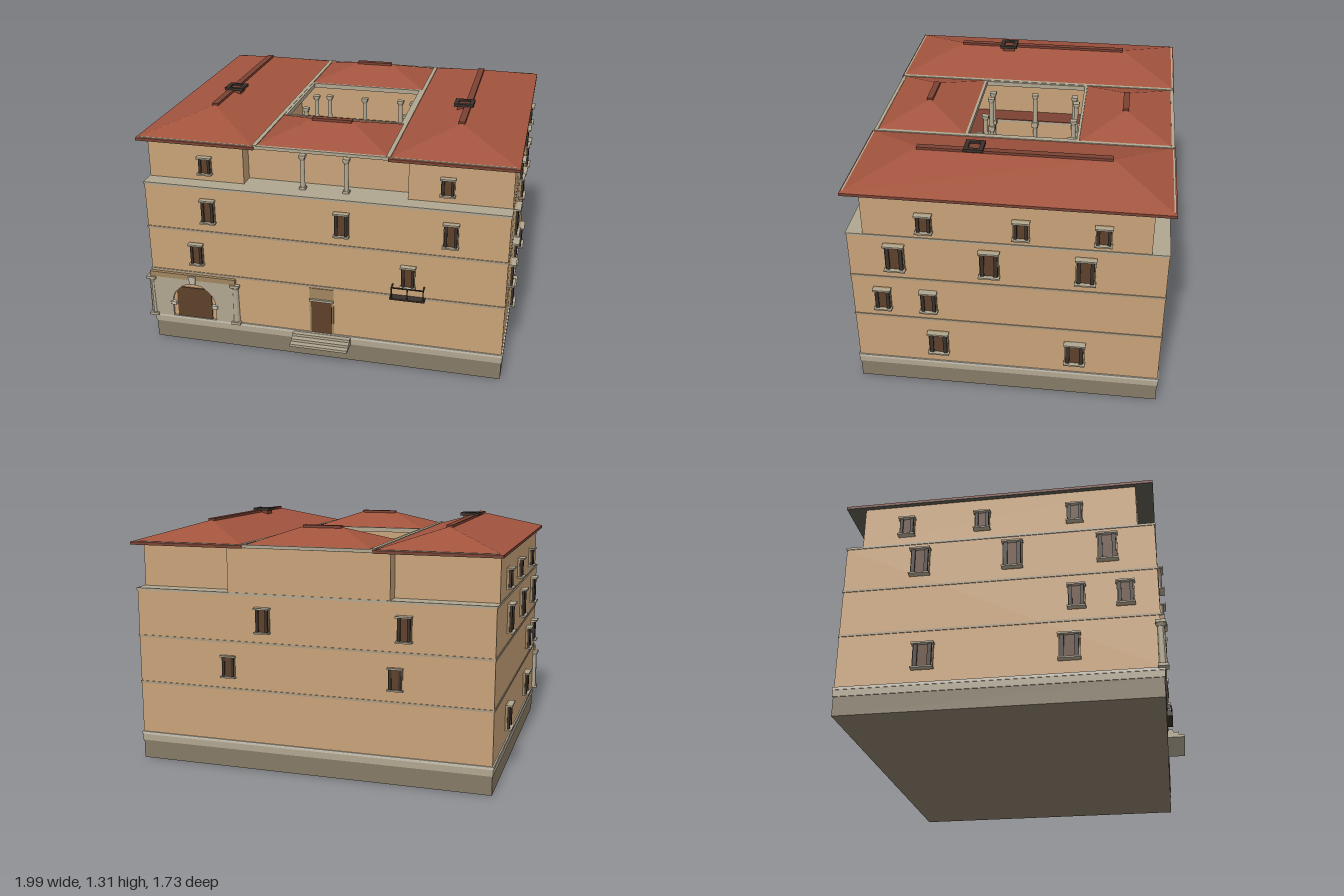
import * as THREE from 'three';

const mat = (color, side = THREE.FrontSide) => new THREE.MeshStandardMaterial({ color, side, flatShading: true });
const M = {
  wall: mat(0xc8a278), base: mat(0x857a66), stone: mat(0xb0a690), trim: mat(0xc9c2b2), band: mat(0xac9a80),
  roof: mat(0xa2543e), ridge: mat(0x7a4132), soffit: mat(0x5c584c), wood: mat(0x5e402a), dark: mat(0x3a302a),
  frame: mat(0xa08660), hedge: mat(0x2c4a28), grass: mat(0x5d7440), water: mat(0x3a6e80),
  white: mat(0xe8e4da), yellow: mat(0xd8b82c), red: mat(0xb03428),
};

export function createModel() {
  const root = new THREE.Group();
  const add = (parent, name, geo, material, x = 0, y = 0, z = 0) => {
    const m = new THREE.Mesh(geo, material);
    m.name = name;
    m.position.set(x, y, z);
    parent.add(m);
    return m;
  };
  // Box given by its limits
  const box = (name, material, x0, x1, y0, y1, z0, z1, parent = root) =>
    add(parent, name, new THREE.BoxGeometry(x1 - x0, y1 - y0, z1 - z0), material,
      (x0 + x1) / 2, (y0 + y1) / 2, (z0 + z1) / 2);
  const rect = (P, x0, x1, z0, z1) => {
    const p = new P();
    p.moveTo(x0, -z1); p.lineTo(x1, -z1); p.lineTo(x1, -z0); p.lineTo(x0, -z0); p.closePath();
    return p;
  };
  // Rectangular slab with a rectangular opening
  const ring = (name, material, outer, inner, y0, y1, parent = root) => {
    const s = rect(THREE.Shape, ...outer);
    s.holes.push(rect(THREE.Path, ...inner));
    const g = new THREE.ExtrudeGeometry(s, { depth: y1 - y0, bevelEnabled: false });
    g.rotateX(-Math.PI / 2);
    return add(parent, name, g, material, 0, y0, 0);
  };
  const grow = d => [-0.96 - d, 0.96 + d, -0.83 - d, 0.77 + d];
  const court = [-0.32, 0.32, -0.325, 0.255];

  // Plinth and main body around the courtyard
  box('plinth', M.base, -0.96, 0.96, 0, 0.1, -0.83, 0.77);
  ring('plinthCourse', M.stone, grow(0.004), court, 0.1, 0.135);
  ring('plinthMoulding', M.trim, grow(0.007), court, 0.135, 0.15);
  ring('mainWalls', M.wall, grow(0), court, 0.15, 0.935);
  for (const y of [0.425, 0.68]) ring('stringCourse', M.band, grow(0.004), court, y, y + 0.012);
  ring('terraceFloor', M.stone, grow(0.004), court, 0.935, 0.947);
  ring('galleryFloor', M.ridge, [-0.435, 0.435, -0.43, 0.36], court, 0.947, 0.953);

  // Top floor, set back behind the terraces
  for (const s of [-1, 1]) {
    const [a, b] = s < 0 ? [-0.96, -0.435] : [0.435, 0.96];
    box('upperWing', M.wall, a, b, 0.945, 1.185, -0.745, 0.685);
  }
  box('upperBackBlock', M.wall, -0.435, 0.435, 0.945, 1.185, -0.83, -0.43);
  box('upperFrontBlock', M.wall, -0.435, 0.435, 0.945, 1.185, 0.36, 0.6);

  // Columns
  const column = (name, x, y0, y1, z, r, parent = root) => {
    const g = new THREE.Group();
    g.name = name;
    const h = y1 - y0;
    add(g, 'shaft', new THREE.CylinderGeometry(r * 0.85, r, h - 0.03, 12), M.stone, 0, h / 2, 0);
    add(g, 'columnBase', new THREE.BoxGeometry(r * 2.6, 0.015, r * 2.6), M.stone, 0, 0.0075, 0);
    add(g, 'capital', new THREE.CylinderGeometry(r * 1.3, r * 0.9, 0.015, 12), M.stone, 0, h - 0.0225, 0);
    add(g, 'abacus', new THREE.BoxGeometry(r * 2.6, 0.015, r * 2.6), M.stone, 0, h - 0.0075, 0);
    g.position.set(x, y0, z);
    parent.add(g);
  };
  for (const x of [-0.118, 0.113]) column('loggiaColumn', x, 0.945, 1.135, 0.675, 0.013);
  const spots = [[0, -0.285], [0, 0.215]];
  for (const s of [-1, 1])
    spots.push([s * 0.295, -0.27], [s * 0.217, -0.285], [s * 0.295, -0.035], [s * 0.295, 0.215], [s * 0.217, 0.215]);
  const tiers = [0.15, 0.425, 0.68, 0.945, 1.14];
  for (const [x, z] of spots)
    for (let i = 0; i < 4; i++) column('courtColumn', x, tiers[i], tiers[i + 1], z, 0.014);

  // Courtyard floor, fountain and planting beds
  box('courtFloor', M.stone, -0.33, 0.33, 0.1, 0.15, -0.335, 0.265);
  ring('fountainRim', M.trim, [-0.105, 0.105, -0.11, 0.035], [-0.085, 0.085, -0.09, 0.015], 0.15, 0.19);
  box('fountainWater', M.water, -0.085, 0.085, 0.15, 0.18, -0.09, 0.015);
  for (const s of [-1, 1]) {
    const x = s * 0.245;
    ring('hedge', M.hedge, [x - 0.067, x + 0.067, -0.23, 0.155], [x - 0.032, x + 0.032, -0.195, 0.115], 0.15, 0.2);
    box('bedGrass', M.grass, x - 0.033, x + 0.033, 0.15, 0.175, -0.196, 0.116);
    [[M.white, -0.14], [M.yellow, -0.035], [M.red, 0.065]].forEach(([m, z]) =>
      box('flowers', m, x - 0.005, x + 0.005, 0.175, 0.2, z - 0.016, z + 0.016));
  }

  // Hipped roof: eave slab below, four slopes rising to a ridge
  const hipRoof = (name, x0, x1, z0, z1, ridge, top) => {
    const g = new THREE.Group();
    g.name = name;
    const y0 = 1.18, y1 = 1.192;
    box('soffit', M.soffit, x0, x1, y0 - 0.003, y0, z0, z1, g);
    box('eave', M.ridge, x0, x1, y0, y1, z0, z1, g);
    const [a, b] = ridge.map(([x, z]) => [x, top, z]);
    const c = [[x0, y1, z1], [x1, y1, z1], [x1, y1, z0], [x0, y1, z0]]; // front corners, then back corners
    const alongZ = a[0] === b[0]; // a is the front or left end of the ridge
    const faces = alongZ
      ? [[c[0], c[1], a], [c[2], c[3], b], [c[1], c[2], b, a], [c[3], c[0], a, b]]
      : [[c[3], c[0], a], [c[1], c[2], b], [c[0], c[1], b, a], [c[2], c[3], a, b]];
    const pos = [];
    for (const f of faces)
      for (let i = 1; i < f.length - 1; i++) pos.push(...f[0], ...f[i], ...f[i + 1]);
    const geo = new THREE.BufferGeometry();
    geo.setAttribute('position', new THREE.Float32BufferAttribute(pos, 3));
    geo.computeVertexNormals();
    add(g, 'tiles', geo, M.roof);
    const w = 0.017;
    box('ridgeCap', M.ridge, a[0] - (alongZ ? w : 0), b[0] + (alongZ ? w : 0), top - 0.012, top + 0.008,
      alongZ ? b[2] : a[2] - w, alongZ ? a[2] : b[2] + w, g);
    root.add(g);
  };
  for (const s of [-1, 1]) {
    const [x0, x1] = s < 0 ? [-0.985, -0.345] : [0.345, 0.985];
    hipRoof('wingRoof', x0, x1, -0.845, 0.775, [[s * 0.662, 0.455], [s * 0.662, -0.53]], 1.29);
    // Chimney with an open cap
    const x = s * 0.642;
    box('chimney', M.ridge, x - 0.035, x + 0.035, 1.25, 1.3, 0.13, 0.2);
    ring('chimneyCap', M.dark, [x - 0.052, x + 0.052, 0.115, 0.215], [x - 0.03, x + 0.03, 0.137, 0.193], 1.295, 1.31);
    // Gutters in the valleys and along the eaves
    box('valleyGutter', M.stone, s * 0.345 - 0.011, s * 0.345 + 0.011, 1.178, 1.2, -0.835, 0.765);
    for (const z of [-0.834, 0.764]) box('eaveGutter', M.stone, x0 + 0.02, x1 - 0.02, 1.18, 1.197, z - 0.005, z + 0.005);
  }
  hipRoof('frontRoof', -0.345, 0.345, 0.26, 0.755, [[-0.105, 0.507], [0.105, 0.507]], 1.275);
  hipRoof('backRoof', -0.345, 0.345, -0.83, -0.335, [[-0.105, -0.573], [0.105, -0.573]], 1.275);
  ring('courtRim', M.stone, [-0.345, 0.345, -0.34, 0.27], court, 1.172, 1.198);
  for (const z of [-0.832, 0.757]) box('middleGutter', M.stone, -0.345, 0.345, 1.18, 1.197, z - 0.009, z + 0.009);

  // Shuttered window, built facing +z and then turned
  const makeWindow = (x, y, z, w, h, turn, d = 0.032) => {
    const g = new THREE.Group();
    g.name = 'window';
    const a = w / 2, b = h / 2;
    box('windowFrame', M.frame, -a, a, -b, b, -0.01, d * 0.3, g);
    box('pane', M.wood, -a * 0.5, a * 0.5, -b * 0.88, b * 0.88, 0, d * 0.42, g);
    for (const s of [-1, 1]) {
      const c = s * a * 0.68;
      box('shutter', M.dark, c - a * 0.2, c + a * 0.2, -b * 0.88, b * 0.88, 0, d * 0.65, g);
    }
    box('lintel', M.stone, -a - 0.004, a + 0.004, b - 0.009, b, 0, d, g);
    box('sill', M.stone, -a - 0.004, a + 0.004, -b, -b + 0.008, 0, d, g);
    g.position.set(x, y, z);
    g.rotation.y = turn;
    root.add(g);
  };
  for (const x of [-0.645, 0.635]) makeWindow(x, 1.035, 0.685, 0.07, 0.1, 0);
  for (const x of [-0.61, 0.11, 0.67]) makeWindow(x, 0.812, 0.77, 0.075, 0.135, 0);
  for (const x of [-0.69, 0.46]) makeWindow(x, 0.552, 0.77, 0.072, 0.125, 0);
  for (const [x, y, h] of [[0.24, 0.81, 0.135], [-0.51, 0.81, 0.135], [0.44, 0.552, 0.12], [-0.465, 0.552, 0.12]])
    makeWindow(x, y, -0.83, 0.075, h, Math.PI, y > 0.7 ? 0.037 : 0.02);
  const sideRows = [
    [1.04, 0.08, 0.108, [0.37, -0.11, -0.51]], [0.822, 0.1, 0.155, [0.53, 0.05, -0.43]],
    [0.555, 0.085, 0.13, [0.61, 0.37]], [0.285, 0.105, 0.138, [0.33, -0.39]]];
  for (const s of [-1, 1])
    for (const [y, w, h, zs] of sideRows)
      for (const z of zs) makeWindow(s * 0.96, y, z, w, h, s * Math.PI / 2, 0.036);

  // Arched portal with flanking columns
  const portal = new THREE.Group();
  portal.name = 'portal';
  const px = -0.725;
  const panel = new THREE.Shape([[-0.235, 0.15], [0.235, 0.15], [0.235, 0.39], [-0.235, 0.39]].map(p => new THREE.Vector2(...p)));
  const arch = new THREE.Path();
  arch.moveTo(-0.125, 0.152);
  arch.lineTo(0.125, 0.152);
  arch.lineTo(0.125, 0.235);
  arch.absarc(0, 0.235, 0.125, 0, Math.PI, false);
  panel.holes.push(arch);
  add(portal, 'portalPanel', new THREE.ExtrudeGeometry(panel, { depth: 0.014, bevelEnabled: false, curveSegments: 16 }), M.stone, px, 0, 0.768);
  box('portalDoor', M.wood, px - 0.1, px + 0.1, 0.15, 0.335, 0.765, 0.776, portal);
  box('entablature', M.frame, px - 0.245, px + 0.245, 0.39, 0.42, 0.765, 0.788, portal);
  add(portal, 'keystone', new THREE.CylinderGeometry(0.03, 0.02, 0.05, 4, 1, false, Math.PI / 4), M.trim, px, 0.388, 0.776);
  for (const s of [-1, 1]) {
    box('impost', M.trim, px + s * 0.12 - 0.016, px + s * 0.12 + 0.016, 0.225, 0.243, 0.768, 0.79, portal);
    column('portalColumn', px + s * 0.24, 0.145, 0.388, 0.768, 0.02, portal);
  }
  root.add(portal);

  // Main door with transom panel and steps
  box('doorFrame', M.frame, -0.068, 0.064, 0.15, 0.42, 0.765, 0.774);
  box('door', M.wood, -0.058, 0.054, 0.152, 0.345, 0.765, 0.778);
  box('doorLintel', M.stone, -0.068, 0.064, 0.345, 0.357, 0.765, 0.785);
  for (let i = 0; i < 3; i++)
    box('step', M.stone, -0.16, 0.156, 0.098 + i * 0.015, 0.113 + i * 0.015, 0.765, 0.863 - i * 0.03);

  // Balcony
  box('balconySlab', M.dark, 0.37, 0.553, 0.43, 0.438, 0.77, 0.815);
  box('balconyRail', M.dark, 0.38, 0.545, 0.496, 0.502, 0.808, 0.814);
  for (const x of [0.38, 0.4625, 0.545]) box('balconyPost', M.dark, x - 0.003, x + 0.003, 0.43, 0.502, 0.808, 0.814);
  for (const x of [0.38, 0.545]) box('balconySideRail', M.dark, x - 0.003, x + 0.003, 0.496, 0.502, 0.77, 0.814);

  return root;
}
